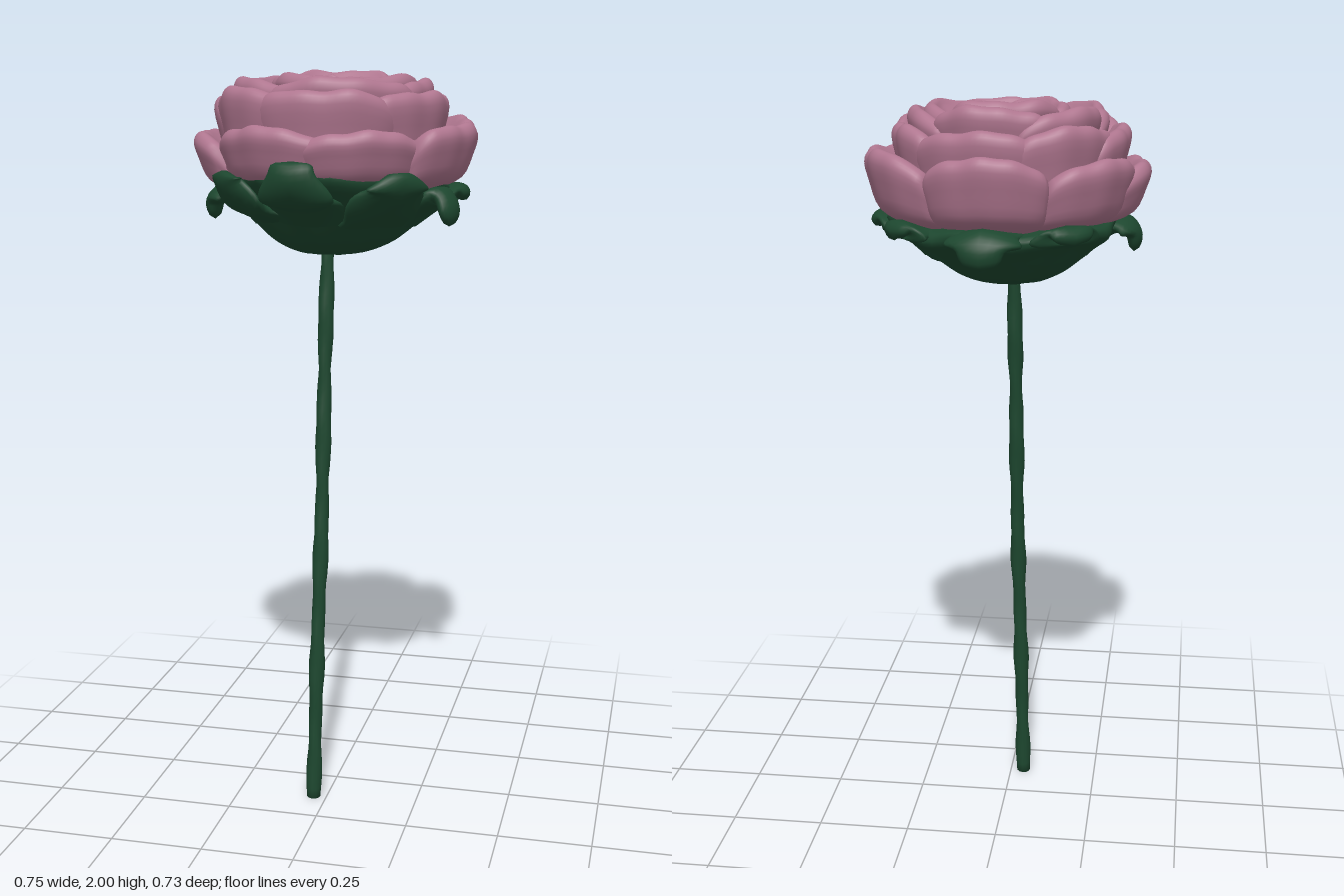
import * as THREE from 'three';
import { mergeVertices } from 'three/addons/utils/BufferGeometryUtils.js';

const pink = new THREE.MeshStandardMaterial({ name: 'dusty pink', color: 0xaf768f, side: THREE.DoubleSide });
const green = new THREE.MeshStandardMaterial({ name: 'dark green', color: 0x1d472f, side: THREE.DoubleSide });
const V = (x, y, z = 0) => new THREE.Vector3(x, y, z);
const rad = THREE.MathUtils.degToRad;

// Smooth surface from a rule f(u, v) -> Vector3, u and v in 0..1
function surface(name, material, nu, nv, f) {
  const pos = [], idx = [];
  for (let j = 0; j <= nv; j++)
    for (let i = 0; i <= nu; i++) pos.push(...f(i / nu, j / nv).toArray());
  for (let j = 0; j < nv; j++)
    for (let i = 0; i < nu; i++) {
      const a = j * (nu + 1) + i, b = a + 1, c = a + nu + 1, d = c + 1;
      idx.push(a, b, d, a, d, c);
    }
  let g = new THREE.BufferGeometry();
  g.setAttribute('position', new THREE.Float32BufferAttribute(pos, 3));
  g.setIndex(idx);
  g = mergeVertices(g, 1e-5);
  g.computeVertexNormals();
  const mesh = new THREE.Mesh(g, material);
  mesh.name = name;
  return mesh;
}

// Cupped petal with an arched, softly rolled lip; deg is measured from the front towards +x
function petal(name, deg, span, R, y0, y1, lip, dip, cx = 0, cz = 0) {
  const h = y1 - y0;
  const profile = new THREE.CatmullRomCurve3([
    V(R * 0.74, y0), V(R * 0.9, y0 + h * 0.2), V(R - 0.012, y0 + h * 0.55), V(R, y1 - 0.025),
    V(R - 0.012, y1 - 0.003), V(R - 0.03, y1), V(R - lip * 0.6, y1 - dip * 0.5), V(R - lip, y1 - dip)]);
  return surface(name, pink, 32, 22, (u, v) => {
    const s = u * 2 - 1, p = profile.getPoint(v);
    const e = Math.sqrt(Math.max(0, 1 - Math.abs(s) ** 3));
    const wave = (0.007 * Math.sin(s * 6 + deg) + 0.004 * Math.sin(s * 13 + deg * 2)) * v;
    const r = p.x * (0.84 + 0.16 * e) + wave;
    const y = y0 + (p.y - y0) * (0.5 + 0.5 * e) + wave * 0.8;
    const a = rad(deg + s * span / 2);
    return V(cx + r * Math.sin(a), y, cz + r * Math.cos(a));
  });
}

// Fleshy sepal following a path of (radius, height) points
function sepal(deg, width, path) {
  const curve = new THREE.CatmullRomCurve3(path.map(([r, y]) => V(r, y)));
  const a = rad(deg);
  return surface('sepal', green, 20, 18, (u, v) => {
    const c = curve.getPoint(v), t = curve.getTangent(v), q = u * Math.PI * 2;
    const end = Math.sqrt(Math.max(0, 1 - v ** 6));
    const w = width * end * (1 - 0.35 * v + 0.1 * Math.sin(v * 14 + deg)) * Math.cos(q);
    const th = 0.024 * end * Math.sin(q);
    const r = c.x - t.y * th - w * w * 1.2, y = c.y + t.x * th + 0.15 * Math.abs(w) * Math.sin(v * 9 + deg);
    return V(r * Math.sin(a) + w * Math.cos(a), y, r * Math.cos(a) - w * Math.sin(a));
  });
}

export function createModel() {
  const model = new THREE.Group();
  model.name = 'rose';

  // Slightly leaning, knobbly stem with a flat foot
  const stemPath = new THREE.CatmullRomCurve3([
    V(-0.037, 0.005, 0.13), V(-0.03, 0.4, 0.115), V(-0.022, 0.8, 0.09), V(-0.02, 1.2, 0.06), V(-0.016, 1.57, 0.035)]);
  model.add(surface('stem', green, 12, 60, (u, v) => {
    const c = stemPath.getPoint(Math.max(0, (v * 60 - 1) / 59)), q = u * Math.PI * 2;
    const r = v === 0 ? 0 : 0.0195 + 0.002 * Math.sin(v * 31) + 0.0015 * Math.sin(v * 67 + q * 2);
    return V(c.x + r * Math.sin(q), c.y, c.z + r * Math.cos(q));
  }));

  // Calyx bowl with a wavy rim, higher at the front
  const bowl = new THREE.CatmullRomCurve3([
    V(0, 1.525), V(0.08, 1.53), V(0.15, 1.56), V(0.205, 1.605), V(0.255, 1.65), V(0.3, 1.69), V(0.3, 1.715),
    V(0.26, 1.72), V(0.1, 1.72)]);
  model.add(surface('calyx', green, 72, 30, (u, v) => {
    const p = bowl.getPoint(v), a = u * Math.PI * 2, k = p.x / 0.3;
    const r = p.x * (1 + 0.025 * Math.sin(a * 5) + 0.02 * Math.sin(a * 11 + v * 9));
    const y = p.y + k * k * (0.03 * Math.cos(a) + 0.008 * Math.sin(a * 7));
    return V(-0.012 * (1 - k) + r * Math.sin(a), y, 0.03 * (1 - k) + r * Math.cos(a));
  }));

  // Sepals: the front ones are raised, the others droop at the tip
  const droop = [[0.2, 1.62], [0.27, 1.675], [0.31, 1.685], [0.335, 1.655], [0.335, 1.61]];
  const level = [[0.2, 1.62], [0.27, 1.67], [0.31, 1.69], [0.33, 1.69], [0.345, 1.67]];
  const raised = [[0.2, 1.63], [0.27, 1.67], [0.32, 1.7], [0.345, 1.74], [0.335, 1.78]];
  const upright = [[0.2, 1.63], [0.27, 1.67], [0.31, 1.7], [0.325, 1.73], [0.32, 1.75]];
  for (const [deg, w, path] of [
    [-6, 0.11, raised], [42, 0.11, upright], [-48, 0.11, upright], [94, 0.1, level], [72, 0.06, droop],
    [-88, 0.1, droop], [-144, 0.11, level], [132, 0.1, level], [176, 0.11, droop]]) model.add(sepal(deg, w, path));

  // Domed heart with a soft swirl of folds
  const dome = new THREE.CatmullRomCurve3([
    V(0, 1.965), V(0.07, 1.967), V(0.14, 1.957), V(0.2, 1.925), V(0.255, 1.86), V(0.275, 1.78), V(0.22, 1.7)]);
  model.add(surface('flowerHeart', pink, 72, 44, (u, v) => {
    const p = dome.getPoint(v), a = u * Math.PI * 2;
    const fold = (0.009 * Math.sin(a + p.x * 80) + 0.006 * Math.sin(a * 3 - p.x * 40)) * Math.min(1, p.x / 0.05) * (1 - v);
    return V(0.01 + p.x * Math.sin(a), p.y + fold, 0.01 + p.x * Math.cos(a));
  }));

  // Petals per ring: [direction, span, radius, base, top]
  const outer = [
    [75, 56, 0.378, 1.7, 1.865], [26, 66, 0.35, 1.71, 1.85], [-24, 66, 0.35, 1.71, 1.86],
    [-84, 66, 0.376, 1.69, 1.845], [-124, 64, 0.36, 1.69, 1.865], [177, 60, 0.36, 1.69, 1.88],
    [120, 62, 0.37, 1.69, 1.88]];
  const middle = [
    [5, 84, 0.318, 1.73, 1.95], [62, 76, 0.305, 1.73, 1.945], [112, 72, 0.295, 1.73, 1.94],
    [170, 84, 0.297, 1.73, 1.935], [-136, 74, 0.305, 1.73, 1.945], [-88, 76, 0.32, 1.73, 1.93],
    [-42, 76, 0.32, 1.73, 1.955]];
  const inner = [
    [15, 110, 0.275, 1.8, 1.978], [95, 100, 0.25, 1.8, 1.975], [172, 100, 0.235, 1.8, 1.99],
    [-118, 100, 0.25, 1.8, 1.982], [-55, 90, 0.272, 1.8, 1.978]];
  const centre = [
    [70, 170, 0.195, 1.86, 1.985], [-165, 140, 0.18, 1.86, 2.0], [-50, 130, 0.19, 1.86, 1.988]];
  for (const p of outer) model.add(petal('outerPetal', ...p, 0.11, 0.055));
  for (const p of middle) model.add(petal('middlePetal', ...p, 0.09, 0.045));
  for (const p of inner) model.add(petal('innerPetal', ...p, 0.08, 0.04));
  for (const p of centre) model.add(petal('centrePetal', ...p, 0.08, 0.035, 0.02, 0.01));
  model.add(petal('budPetal', -170, 130, 0.11, 1.92, 1.985, 0.07, 0.025, 0, 0));
  return model;
}
